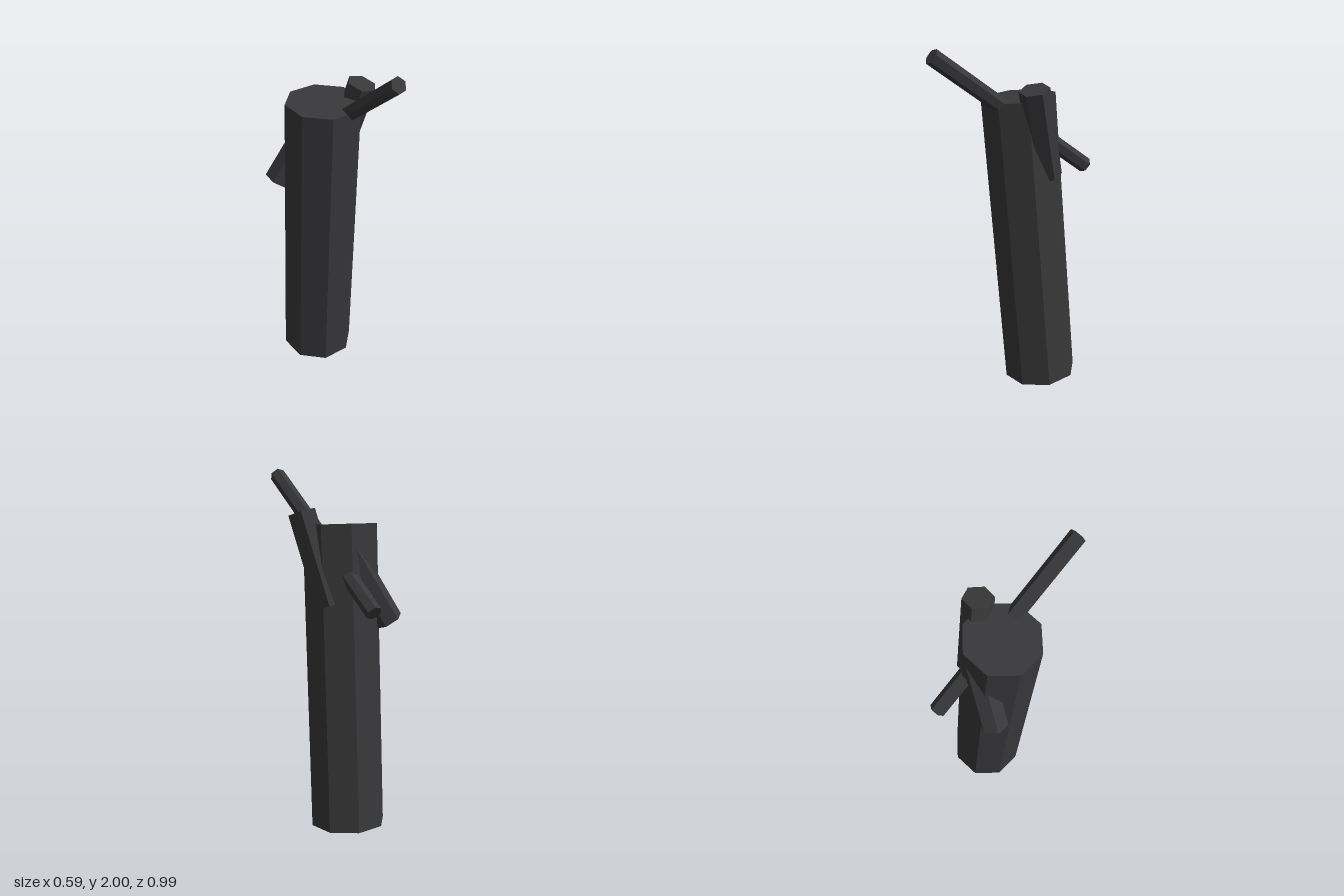
import * as THREE from 'three';

const UP = new THREE.Vector3(0, 1, 0);

export function createModel() {
  const group = new THREE.Group();
  const bark = new THREE.MeshStandardMaterial({ color: 0x38383a, flatShading: true });

  // Straight prism running between two points, turned about its own axis by roll degrees
  function addLog(name, from, to, radius, sides, roll) {
    const start = new THREE.Vector3(...from);
    const end = new THREE.Vector3(...to);
    const axis = end.clone().sub(start);
    const geometry = new THREE.CylinderGeometry(radius, radius, axis.length(), sides);
    geometry.rotateY(THREE.MathUtils.degToRad(roll));
    const mesh = new THREE.Mesh(geometry, bark);
    mesh.name = name;
    mesh.position.copy(start).add(end).multiplyScalar(0.5);
    mesh.quaternion.setFromUnitVectors(UP, axis.normalize());
    group.add(mesh);
  }

  // Leaning octagonal trunk
  addLog('trunk', [-0.01, 0.019, -0.197], [-0.01, 1.706, -0.053], 0.212, 8, -3);
  // Thin branch passing right through the trunk
  addLog('longBranch', [-0.05, 1.28, -0.47], [0.202, 1.963, 0.468], 0.045, 6, 0);
  // Thick stub rising past the top on the left
  addLog('upperStub', [0.095, 1.28, -0.187], [0.213, 1.775, -0.07], 0.084, 6, 41);
  // Stub hanging down at the back right
  addLog('lowerStub', [-0.235, 1.185, -0.225], [0.0, 1.58, -0.195], 0.078, 6, 22);

  return group;
}
